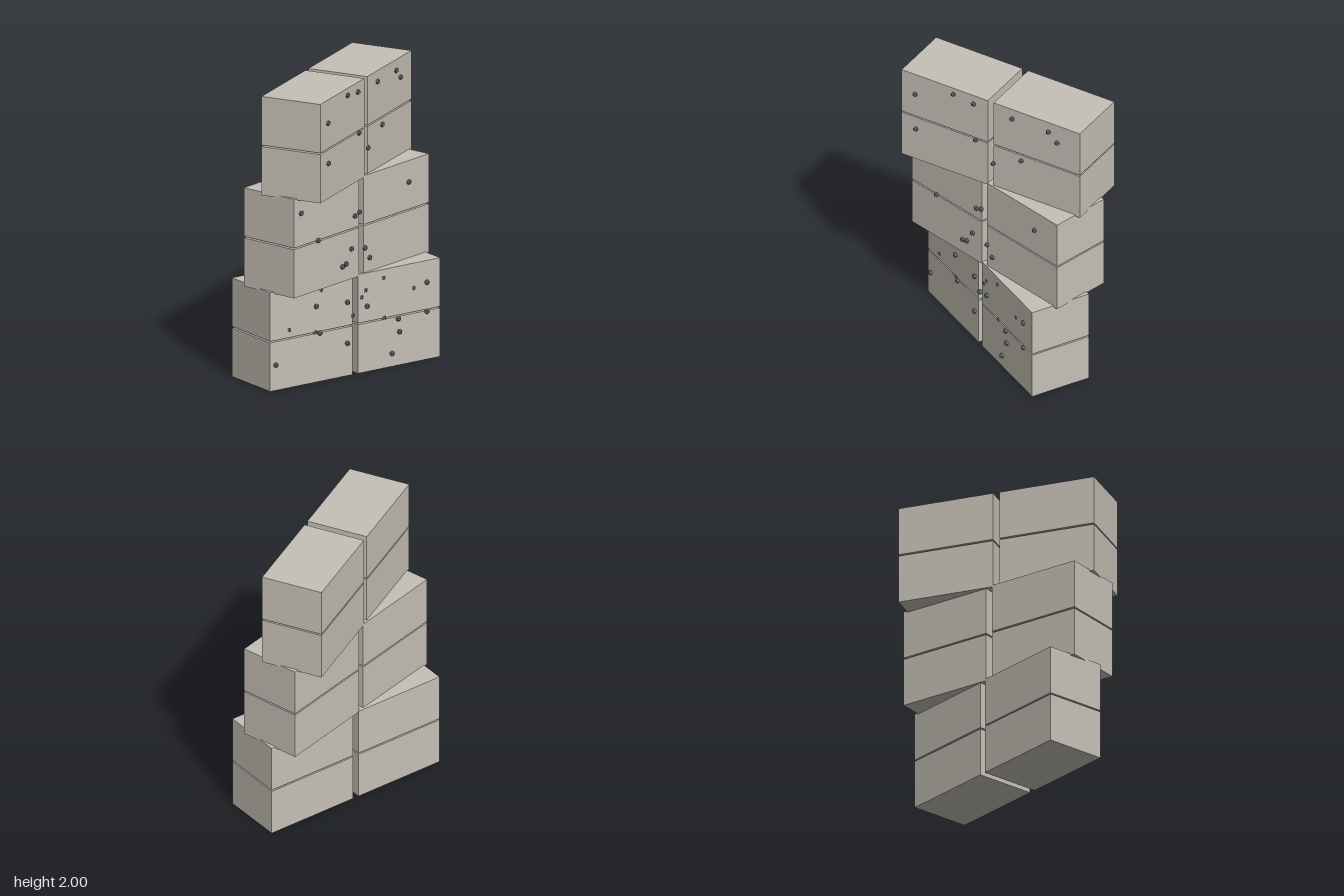
import * as THREE from 'three';

// Block and stack dimensions
const W = 0.663, H = 0.332, D = 0.427;
const GAP_X = 0.045, GAP_Y = 0.01, PITCH = 0.663;

// Each tier: twist in degrees, pebbles standing proud of the front, pebbles sunk into it (x, height)
const TIERS = [
  {
    twist: 0, z: -0.004,
    proud: [[0.575, 0.527], [-0.318, 0.519], [-0.066, 0.503], [0.093, 0.448], [-0.289, 0.331], [0.575, 0.328],
      [0.344, 0.318], [0.355, 0.228], [-0.066, 0.223], [-0.644, 0.175], [0.294, 0.09]],
    sunk: [[-0.273, 0.62], [0.23, 0.615], [0.087, 0.556], [0.053, 0.514], [0.474, 0.503], [-0.019, 0.403],
      [-0.532, 0.392], [-0.318, 0.34], [0.236, 0.342]],
  },
  {
    twist: 14.1, z: 0,
    proud: [[-0.546, 1.229], [0.516, 1.192], [0.029, 1.102], [-0.016, 1.086], [-0.379, 1.004], [-0.05, 0.869],
      [0.082, 0.845], [-0.103, 0.779], [-0.14, 0.768], [0.13, 0.768]],
    sunk: [],
  },
  {
    twist: 28.4, z: 0,
    proud: [[-0.146, 1.955], [-0.01, 1.936], [0.251, 1.928], [0.498, 1.928], [0.556, 1.865], [-0.405, 1.844],
      [0.005, 1.653], [0.313, 1.616], [0.124, 1.515], [-0.4, 1.568]],
    sunk: [],
  },
];

export function createModel() {
  const stone = new THREE.MeshStandardMaterial({ name: 'warm grey stone', color: 0xc6c1b7 });
  const slate = new THREE.MeshStandardMaterial({ name: 'slate grey', color: 0x636972 });
  const blockGeo = new THREE.BoxGeometry(W, H, D);
  const pebbleGeo = new THREE.DodecahedronGeometry(0.018, 0);

  const model = new THREE.Group();
  model.name = 'twistedBlockStack';

  TIERS.forEach(({ twist, z, proud, sunk }, i) => {
    const angle = THREE.MathUtils.degToRad(twist);
    const base = i * PITCH;
    const tier = new THREE.Group();
    tier.name = `tier${i + 1}`;
    tier.position.set(0, base, z);
    tier.rotation.y = angle;

    // Two by two blocks with thin joints
    for (const side of [-1, 1]) {
      for (const row of [0, 1]) {
        const block = new THREE.Mesh(blockGeo, stone);
        block.name = `${row ? 'upper' : 'lower'}${side > 0 ? 'Left' : 'Right'}Block`;
        block.position.set(side * (W + GAP_X) / 2, H / 2 + row * (H + GAP_Y), 0);
        tier.add(block);
      }
    }

    // Pebbles on the front face, placed along the turned face
    const addPebble = ([x, y], depth) => {
      const pz = D / 2 + depth;
      const pebble = new THREE.Mesh(pebbleGeo, slate);
      pebble.name = 'pebble';
      pebble.position.set((x - pz * Math.sin(angle)) / Math.cos(angle), y - base, pz);
      tier.add(pebble);
    };
    proud.forEach((p) => addPebble(p, 0.006));
    sunk.forEach((p) => addPebble(p, -0.008));
    model.add(tier);
  });
  return model;
}
